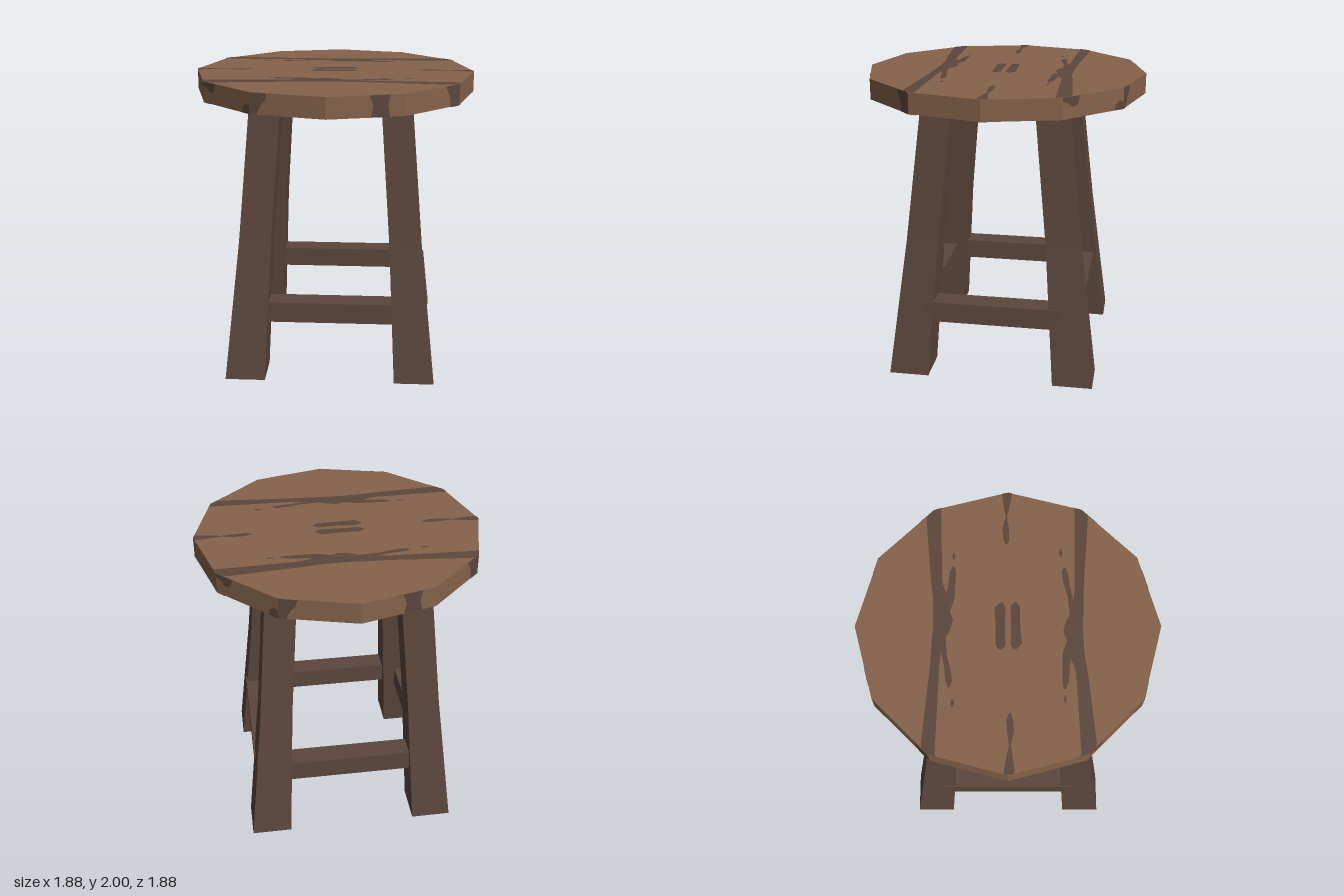
import * as THREE from 'three';

const R = 0.94;                              // seat corner radius
const APO = R * Math.cos(Math.PI / 12);      // seat flat radius

// How far out a point lies on the twelve-sided seat: 0 centre, 1 rim
function rimRatio(u, v) {
  let m = 0;
  for (let k = 0; k < 12; k++) {
    const a = Math.PI / 12 + (k * Math.PI) / 6;
    m = Math.max(m, (u * Math.cos(a) + v * Math.sin(a)) / APO);
  }
  return m;
}
const topY = (h) => 2 - 0.005 * h;
const bottomY = (h) => 1.828 + 0.032 * h;

// Thin grain patch lying on the seat; rows are [u, vLow, vHigh]
function grainGeometry(rows, turn, heightAt) {
  const n = 48;
  const g = new THREE.PlaneGeometry(1, 1, n, 3).rotateX(-Math.PI / 2);
  const p = g.attributes.position;
  const u0 = rows[0][0], u1 = rows[rows.length - 1][0];
  for (let i = 0; i < p.count; i++) {
    let u = u0 + (p.getX(i) + 0.5) * (u1 - u0);
    let k = 0;
    while (k < rows.length - 2 && u > rows[k + 1][0]) k++;
    const t = (u - rows[k][0]) / (rows[k + 1][0] - rows[k][0]);
    const lo = THREE.MathUtils.lerp(rows[k][1], rows[k + 1][1], t);
    const hi = THREE.MathUtils.lerp(rows[k][2], rows[k + 1][2], t);
    let v = THREE.MathUtils.lerp(lo, hi, p.getZ(i) + 0.5);
    const h = rimRatio(u, v), s = turn / Math.max(1, h);
    p.setXYZ(i, u * s, heightAt(Math.min(1, h)), v * s);
  }
  g.computeVertexNormals();
  return g;
}

// Square leg splaying outwards in two straight runs
function legGeometry(sx, sz) {
  const levels = [                           // y, centre u, centre v, width
    [0, 0.57, 0.56, 0.268],
    [0.95, 0.495, 0.464, 0.212],
    [1.88, 0.422, 0.366, 0.2],
  ];
  const g = new THREE.BoxGeometry(1, 2, 1, 1, 2, 1);
  const p = g.attributes.position;
  for (let i = 0; i < p.count; i++) {
    const [y, u, v, w] = levels[Math.round(p.getY(i) + 1)];
    p.setXYZ(i, sx * u + p.getX(i) * w, y, sz * v + p.getZ(i) * w);
  }
  g.computeVertexNormals();
  return g;
}

export function createModel() {
  const wood = new THREE.MeshStandardMaterial({ color: 0x86634b, flatShading: true });
  wood.name = 'warm wood';
  const dark = new THREE.MeshStandardMaterial({ color: 0x5c473d, flatShading: true, side: THREE.DoubleSide });
  dark.name = 'dark wood';

  const model = new THREE.Group();
  model.name = 'stool';
  const body = new THREE.Group();
  body.name = 'stoolBody';
  body.rotation.y = Math.atan(0.5);          // whole stool stands turned
  model.add(body);
  const add = (name, geometry, material) => {
    const m = new THREE.Mesh(geometry, material);
    m.name = name;
    body.add(m);
    return m;
  };

  // Seat slab, slightly bulged underneath
  const profile = [[0, bottomY(0)], [R, bottomY(1)], [R, topY(1)], [0, topY(0)]];
  add('seat', new THREE.LatheGeometry(profile.map(([x, y]) => new THREE.Vector2(x, y)), 12), wood);

  // Grain: long streak, its tongues, knot and small flecks, repeated half a turn round
  const grain = [
    [[-0.85, -0.52, -0.43], [-0.25, -0.47, -0.415], [-0.1, -0.465, -0.395], [-0.03, -0.46, -0.355],
      [0.05, -0.46, -0.335], [0.09, -0.46, -0.36], [0.2, -0.465, -0.375], [0.3, -0.48, -0.41], [0.85, -0.53, -0.43]],
    [[0.08, -0.39, -0.365], [0.18, -0.39, -0.33], [0.25, -0.375, -0.33], [0.36, -0.365, -0.325], [0.41, -0.345, -0.335]],
    [[-0.4, -0.36, -0.35], [-0.36, -0.375, -0.335], [-0.27, -0.385, -0.35], [-0.2, -0.4, -0.37], [-0.08, -0.42, -0.38]],
    [[-0.16, -0.05, -0.04], [-0.13, -0.075, -0.015], [0, -0.075, -0.02], [0.12, -0.085, -0.015], [0.155, -0.05, -0.03]],
    [[0.56, -0.015, -0.005], [0.6, -0.03, 0.01], [0.68, -0.035, 0.005], [0.76, -0.015, -0.005],
      [0.85, -0.03, 0.015], [0.95, -0.04, 0.03]],
    [[0.45, -0.345, -0.34], [0.475, -0.35, -0.33], [0.5, -0.345, -0.34]],
    [[-0.53, -0.335, -0.33], [-0.5, -0.345, -0.32], [-0.47, -0.335, -0.33]],
  ];
  for (const rows of grain) {
    for (const turn of [1, -1]) {
      add('topGrain', grainGeometry(rows, turn, (h) => topY(h) + 0.002), dark);
      add('undersideGrain', grainGeometry(rows, turn, (h) => bottomY(h) - 0.003), dark);
    }
  }

  // Grain on the rim: facet angle, then an outline of [sideways, height]
  const rimGrain = [
    [135, [[0.11, 1.995], [0.125, 1.945], [0.15, 1.93], [0.18, 1.935], [0.2, 1.96], [0.243, 1.97], [0.243, 1.995]]],
    [105, [[0.13, 1.995], [0.14, 1.95], [0.17, 1.92], [0.2, 1.86], [0.243, 1.86], [0.243, 1.995]]],
    [135, [[-0.243, 1.86], [-0.17, 1.86], [-0.18, 1.9], [-0.21, 1.92], [-0.243, 1.91]]],
    [75, [[-0.15, 1.995], [-0.135, 1.93], [-0.15, 1.86], [-0.03, 1.86], [-0.045, 1.93], [-0.02, 1.995]]],
    [45, [[-0.243, 1.995], [-0.243, 1.86], [-0.16, 1.86], [-0.15, 1.93], [-0.11, 1.995]]],
  ];
  for (const [deg, outline] of rimGrain) {
    for (const half of [0, 180]) {
      const a = THREE.MathUtils.degToRad(deg + half);
      const shape = new THREE.Shape(outline.map(([t, y]) => new THREE.Vector2(-t, y)));
      const m = add('rimGrain', new THREE.ShapeGeometry(shape), dark);
      m.position.set(Math.cos(a) * (APO + 0.002), 0, Math.sin(a) * (APO + 0.002));
      m.rotation.y = Math.PI / 2 - a;
    }
  }

  // Legs
  for (const sx of [1, -1]) for (const sz of [1, -1]) add('leg', legGeometry(sx, sz), dark);

  // Stretchers between neighbouring legs
  for (const s of [1, -1]) {
    add('longStretcher', new THREE.BoxGeometry(0.96, 0.14, 0.15), dark).position.set(0, 0.46, s * 0.525);
    add('sideStretcher', new THREE.BoxGeometry(0.155, 0.14, 0.92), dark).position.set(s * 0.577, 0.46, 0);
  }
  return model;
}
